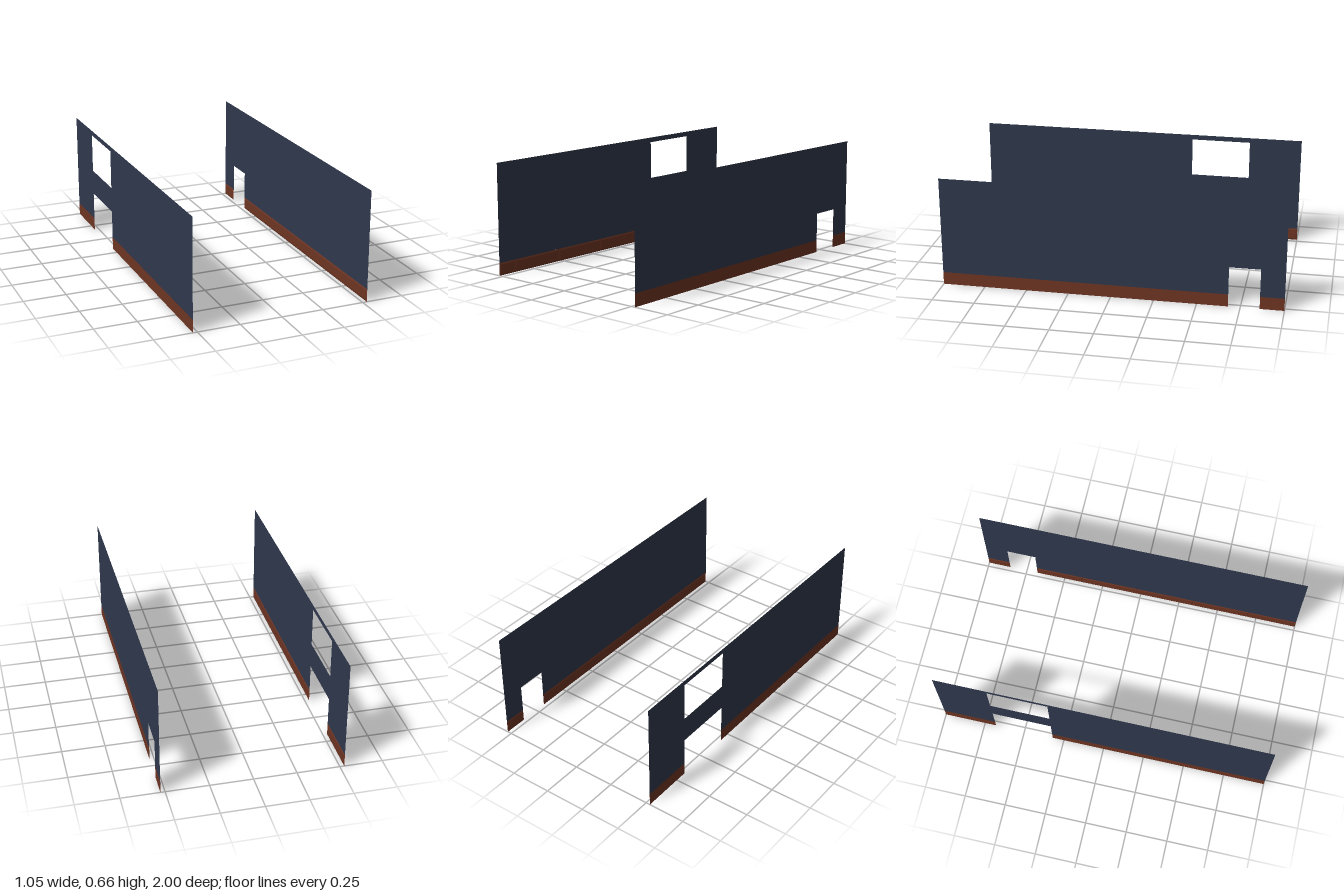
import * as THREE from 'three';

const HEIGHT = 0.66, BASE = 0.075, DOOR = 0.243, SIDE = 0.526;
const THICK = 0.003, BEVEL = 0.01;

const navy = new THREE.MeshStandardMaterial({ name: 'navy wall', color: 0x2f394e, side: THREE.DoubleSide });
const brown = new THREE.MeshStandardMaterial({ name: 'brown skirting', color: 0x6f3523 });

// Upright sheet above the skirting, drawn in (z, y), with a doorway and an optional window
function wallPanel(door, window) {
  const [d0, d1] = door;
  const shape = new THREE.Shape([
    [-1, BASE], [d0, BASE], [d0, DOOR], [d1, DOOR], [d1, BASE],
    [1, BASE], [1, HEIGHT], [-1, HEIGHT],
  ].map(([z, y]) => new THREE.Vector2(z, y)));
  if (window) {
    const [y0, y1] = window;
    shape.holes.push(new THREE.Path([
      [d0, y0], [d0, y1], [d1, y1], [d1, y0],
    ].map(([z, y]) => new THREE.Vector2(z, y))));
  }
  const mesh = new THREE.Mesh(new THREE.ShapeGeometry(shape).rotateY(-Math.PI / 2), navy);
  mesh.name = 'wallPanel';
  return mesh;
}

// Skirting tile: flat outside, bevelled towards the room
function skirtingTile(z0, z1, inward) {
  const length = z1 - z0;
  const geo = new THREE.BoxGeometry(THICK, BASE, length);
  const pos = geo.attributes.position;
  for (let i = 0; i < pos.count; i++) {
    if (pos.getX(i) * inward > 0) {
      pos.setY(i, pos.getY(i) - Math.sign(pos.getY(i)) * BEVEL);
      pos.setZ(i, pos.getZ(i) - Math.sign(pos.getZ(i)) * Math.min(BEVEL, length / 4));
    }
  }
  geo.computeVertexNormals();
  const mesh = new THREE.Mesh(geo, brown);
  mesh.name = 'skirtingTile';
  mesh.position.set(inward * THICK / 2, BASE / 2, (z0 + z1) / 2);
  return mesh;
}

function buildWall(name, side, door, window, runs) {
  const wall = new THREE.Group();
  wall.name = name;
  wall.add(wallPanel(door, window));
  for (const run of runs) {
    for (let i = 1; i < run.length; i++) wall.add(skirtingTile(run[i - 1], run[i], -side));
  }
  wall.position.x = side * SIDE;
  return wall;
}

export function createModel() {
  const model = new THREE.Group();
  model.name = 'corridorWalls';
  // Left wall with a narrow doorway
  model.add(buildWall('leftWall', 1, [-0.86, -0.68], null,
    [[-1, -0.86], [-0.68, -0.38, -0.02, 0.34, 0.7, 1]]));
  // Right wall with a wide doorway and a window above it
  model.add(buildWall('rightWall', -1, [-0.68, -0.32], [0.397, 0.63],
    [[-1, -0.92, -0.68], [-0.32, -0.2, 0.16, 0.52, 0.88, 1]]));
  return model;
}
